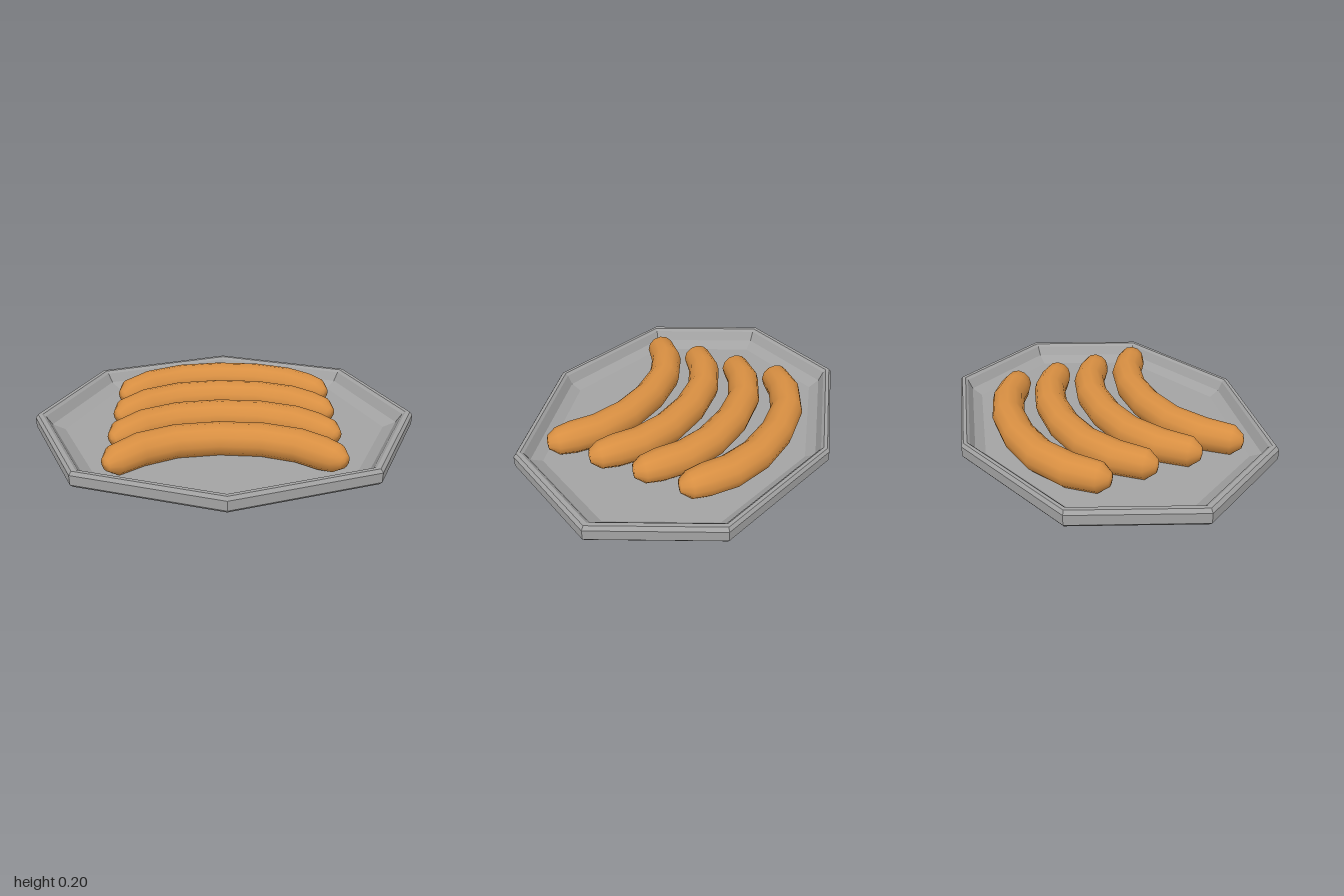
import * as THREE from 'three';

const traySteel = new THREE.MeshStandardMaterial({ color: 0xa3a3a3 });
traySteel.name = 'trayGrey';
traySteel.flatShading = true;
const sausageBrown = new THREE.MeshStandardMaterial({ color: 0xd88f42 });
sausageBrown.name = 'sausageBrown';

// Eight-sided dish: underside, outer wall, rim, inner wall, floor
function makeTray() {
  const profile = [
    [0, 0], [0.45, 0.006], [0.92, 0.028], [0.985, 0.045], [1, 0.06], [1, 0.112],
    [0.985, 0.13], [0.962, 0.13], [0.945, 0.118], [0.915, 0.07], [0.85, 0.04], [0, 0.033],
  ].map(([r, y]) => new THREE.Vector2(r, y));
  const geo = new THREE.LatheGeometry(profile, 8);
  const pos = geo.attributes.position;
  // Squash front to back, and push the diagonal corners slightly outward
  for (let i = 0; i < pos.count; i++) {
    const x = pos.getX(i), z = pos.getZ(i);
    const k = Math.abs(x * z) > 1e-6 ? 1.025 : 1;
    pos.setX(i, x * k);
    pos.setZ(i, z * k * 0.79);
  }
  geo.computeVertexNormals();
  const tray = new THREE.Mesh(geo, traySteel);
  tray.name = 'tray';
  return tray;
}

// Curved sausage skinned over round sections: [x, z, radius]
function makeSausageGeometry() {
  const sections = [
    [-0.575, -0.26, 0], [-0.57, -0.265, 0.035], [-0.535, -0.3, 0.075], [-0.42, -0.4, 0.085],
    [-0.245, -0.477, 0.085], [-0.03, -0.5, 0.085], [0.185, -0.477, 0.085], [0.36, -0.413, 0.085],
    [0.465, -0.335, 0.083], [0.53, -0.285, 0.07], [0.56, -0.25, 0.035], [0.563, -0.246, 0],
  ];
  const sides = 12, verts = [], index = [];
  sections.forEach(([x, z, r], i) => {
    const a = sections[Math.max(i - 1, 0)], b = sections[Math.min(i + 1, sections.length - 1)];
    const t = new THREE.Vector2(b[0] - a[0], b[1] - a[1]).normalize();
    for (let j = 0; j < sides; j++) {
      const ang = (j / sides) * Math.PI * 2;
      const c = Math.cos(ang) * r, s = Math.sin(ang) * r;
      verts.push(x - t.y * c, 0.112 + x * 0.012 + s, z + t.x * c);
      if (i < sections.length - 1) {
        const k = (j + 1) % sides;
        const p = i * sides + j, q = i * sides + k;
        index.push(p, p + sides, q + sides, p, q + sides, q);
      }
    }
  });
  const geo = new THREE.BufferGeometry();
  geo.setAttribute('position', new THREE.Float32BufferAttribute(verts, 3));
  geo.setIndex(index);
  geo.computeVertexNormals();
  return geo;
}

export function createModel() {
  const model = new THREE.Group();
  model.name = 'sausageTray';
  model.add(makeTray());

  // Row of four sausages from back to front
  const geo = makeSausageGeometry();
  for (let i = 0; i < 4; i++) {
    const sausage = new THREE.Mesh(geo, sausageBrown);
    sausage.name = `sausage${i + 1}`;
    sausage.position.z = i * 0.245;
    model.add(sausage);
  }
  return model;
}
